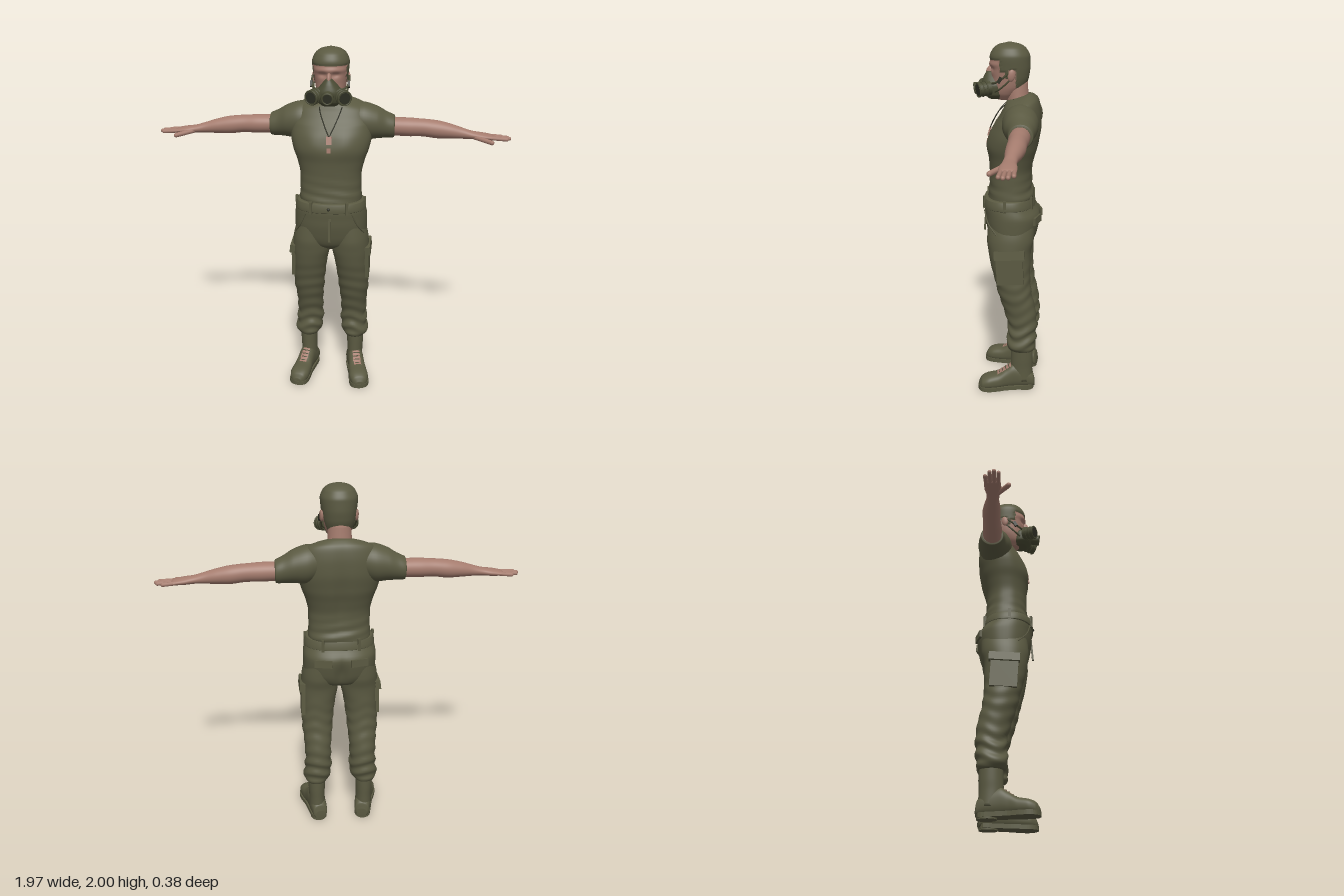
import * as THREE from 'three';

const mat = (name, color) => Object.assign(new THREE.MeshStandardMaterial({ color }), { name });
const V = (x, y, z) => new THREE.Vector3(x, y, z);
const gauss = (d, w) => Math.exp(-(d * d) / (w * w));

// Smooth closed loft along an axis. Rings: [t, centreA, centreB, radiusA, radiusB].
// (a, b) is (x, z) along y, (y, z) along x and (x, y) along z.
function loft(axis, rings, { n = 2, seg = 40, sub = 5, deform } = {}) {
  const R = [...rings].sort((p, q) => p[0] - q[0]);
  const slope = (i, k) => (R[i + 1][k] - R[i][k]) / (R[i + 1][0] - R[i][0]);
  const tangent = (i, k) => {
    if (i === 0) return slope(0, k);
    if (i === R.length - 1) return slope(i - 1, k);
    const a = slope(i - 1, k), b = slope(i, k);
    return a * b <= 0 ? 0 : (2 * a * b) / (a + b);
  };
  const pos = [], idx = [];
  const push = (t, a, b) => {
    const v = axis === 'y' ? V(a, t, b) : axis === 'x' ? V(t, a, b) : V(a, b, t);
    if (deform) deform(v);
    pos.push(v.x, v.y, v.z);
  };
  const sp = (c) => Math.sign(c) * Math.pow(Math.abs(c), 2 / n);
  const rows = (R.length - 1) * sub;
  for (let i = 0; i <= rows; i++) {
    const s = Math.min(Math.floor(i / sub), R.length - 2), u = i / sub - s, h = R[s + 1][0] - R[s][0];
    const f = (k) => (1 + 2 * u) * (1 - u) ** 2 * R[s][k] + u * (1 - u) ** 2 * h * tangent(s, k)
      + u * u * (3 - 2 * u) * R[s + 1][k] + u * u * (u - 1) * h * tangent(s + 1, k);
    for (let j = 0; j < seg; j++) {
      const q = (j / seg) * Math.PI * 2;
      push(R[s][0] + u * h, f(1) + f(3) * sp(Math.cos(q)), f(2) + f(4) * sp(Math.sin(q)));
    }
  }
  const tri = (a, b, c) => (axis === 'y' ? idx.push(a, c, b) : idx.push(a, b, c));
  for (let i = 0; i < rows; i++) for (let j = 0; j < seg; j++) {
    const a = i * seg + j, b = i * seg + (j + 1) % seg;
    tri(a, b, a + seg);
    tri(b, b + seg, a + seg);
  }
  const first = (rows + 1) * seg, last = R[R.length - 1];
  push(R[0][0], R[0][1], R[0][2]);
  push(last[0], last[1], last[2]);
  for (let j = 0; j < seg; j++) {
    const k = (j + 1) % seg;
    tri(first, k, j);
    tri(first + 1, rows * seg + j, rows * seg + k);
  }
  const g = new THREE.BufferGeometry();
  g.setAttribute('position', new THREE.Float32BufferAttribute(pos, 3));
  g.setIndex(idx);
  g.computeVertexNormals();
  return g;
}

// Put the faces that meet a rule into a second material group
function splitFaces(g, rule) {
  const p = g.attributes.position, ix = g.index.array, parts = [[], []];
  for (let i = 0; i < ix.length; i += 3) {
    const c = V(0, 0, 0);
    for (let k = 0; k < 3; k++) c.add(new THREE.Vector3().fromBufferAttribute(p, ix[i + k]));
    parts[rule(c.divideScalar(3)) ? 1 : 0].push(ix[i], ix[i + 1], ix[i + 2]);
  }
  g.setIndex([...parts[0], ...parts[1]]);
  g.addGroup(0, parts[0].length, 0);
  g.addGroup(parts[0].length, parts[1].length, 1);
  return g;
}

export function createModel() {
  const root = new THREE.Group();
  root.name = 'figure';
  const olive = mat('olive cloth', 0x5a5941);
  const skin = mat('skin', 0xa57c6e);
  const maskMat = mat('mask olive', 0x4b4c35);
  const dark = mat('dark rubber', 0x2f3025);

  const add = (name, geo, m, p = [0, 0, 0], r = [0, 0, 0]) => {
    const mesh = new THREE.Mesh(geo, m);
    mesh.name = name;
    mesh.position.set(...p);
    mesh.rotation.set(...r);
    root.add(mesh);
    return mesh;
  };
  // Add a left part and its mirrored right twin
  const pair = (name, ...args) => {
    const left = add(name + 'Left', ...args);
    left.updateMatrix();
    const g = left.geometry.clone().applyMatrix4(left.matrix).scale(-1, 1, 1);
    const ix = g.index.array;
    for (let i = 0; i < ix.length; i += 3) [ix[i], ix[i + 1]] = [ix[i + 1], ix[i]];
    add(name + 'Right', g, args[1]);
  };
  const tube = (pts, r, seg = 24) => new THREE.TubeGeometry(new THREE.CatmullRomCurve3(pts.map((p) => V(...p))), seg, r, 6);
  const box = (x, y, z) => new THREE.BoxGeometry(x, y, z);
  const finger = (a, b, r) => {
    const A = V(...a), B = V(...b), d = B.clone().sub(A);
    const g = new THREE.CapsuleGeometry(r, d.length(), 4, 10);
    g.applyQuaternion(new THREE.Quaternion().setFromUnitVectors(V(0, 1, 0), d.normalize()));
    return g.translate(...A.add(B).multiplyScalar(0.5).toArray());
  };

  // Shirt: body with chest, spine groove and a collar lower in front
  add('shirtBody', loft('y', [
    [1.12, 0, -0.02, 0.165, 0.115], [1.165, 0, -0.02, 0.176, 0.13], [1.22, 0, -0.018, 0.172, 0.12],
    [1.3, 0, -0.018, 0.172, 0.118], [1.38, 0, -0.024, 0.188, 0.128], [1.45, 0, -0.03, 0.212, 0.141],
    [1.52, 0, -0.045, 0.225, 0.138], [1.58, 0, -0.06, 0.225, 0.125], [1.63, 0, -0.07, 0.212, 0.11],
    [1.67, 0, -0.073, 0.19, 0.095], [1.7, 0, -0.065, 0.12, 0.075], [1.712, 0, -0.06, 0.07, 0.064],
  ], {
    n: 2.35, seg: 64, deform: (v) => {
      if (v.z > 0) v.z += 0.008 * gauss(v.y - 1.49, 0.06) * gauss(Math.abs(v.x) - 0.09, 0.06);
      if (v.z < -0.08) v.z += 0.012 * gauss(v.x, 0.03) * gauss(v.y - 1.4, 0.2);
      v.z += 0.003 * Math.sin(v.y * 110 + v.x * 14) * gauss(v.y - 1.2, 0.08);
      v.y -= (v.z + 0.06) * 0.3 * THREE.MathUtils.clamp((v.y - 1.58) / 0.12, 0, 1);
    },
  }), olive);
  pair('sleeve', loft('x', [
    [0.1, 1.6, -0.08, 0.08, 0.08], [0.18, 1.588, -0.083, 0.104, 0.098], [0.25, 1.58, -0.088, 0.09, 0.088],
    [0.3, 1.567, -0.095, 0.074, 0.072], [0.345, 1.558, -0.098, 0.062, 0.064], [0.349, 1.558, -0.098, 0.05, 0.052],
  ]), olive);

  // Arms and hands
  pair('arm', loft('x', [
    [0.32, 1.557, -0.097, 0.05, 0.052], [0.42, 1.555, -0.095, 0.052, 0.053], [0.5, 1.553, -0.096, 0.049, 0.048],
    [0.57, 1.546, -0.096, 0.05, 0.049], [0.65, 1.538, -0.092, 0.042, 0.043], [0.73, 1.527, -0.086, 0.029, 0.033],
    [0.78, 1.52, -0.083, 0.022, 0.035], [0.83, 1.515, -0.083, 0.02, 0.043], [0.88, 1.511, -0.085, 0.014, 0.042],
    [0.893, 1.51, -0.085, 0.008, 0.036],
  ]), skin);
  [[-0.119, 0.935], [-0.097, 0.965], [-0.075, 0.974], [-0.053, 0.96]].forEach(([z, x], i) =>
    pair('finger' + (i + 1), finger([0.87, 1.511, z * 0.9 - 0.008], [x, 1.506, z], 0.011), skin));
  pair('thumb', finger([0.79, 1.512, -0.06], [0.875, 1.498, -0.004], 0.013), skin);

  // Neck, and head with cropped hair
  add('neck', loft('y', [[1.62, 0, -0.06, 0.075, 0.065], [1.7, 0, -0.054, 0.066, 0.06], [1.8, 0, -0.045, 0.062, 0.062]]), skin);
  const isHair = (v) => v.y > (v.z > 0.035 ? 1.91 : v.z > 0.005 ? 1.85 : v.z > -0.015 ? 1.815 : v.z > -0.05 ? 1.86 : 1.765);
  add('head', splitFaces(loft('y', [
    [1.695, 0, 0.02, 0.035, 0.035], [1.73, 0, 0.012, 0.062, 0.07], [1.77, 0, -0.004, 0.077, 0.09],
    [1.82, 0, -0.012, 0.086, 0.1], [1.87, 0, -0.012, 0.092, 0.106], [1.92, 0, -0.011, 0.096, 0.106],
    [1.96, 0, -0.01, 0.082, 0.09], [1.985, 0, -0.01, 0.054, 0.06], [1.997, 0, -0.01, 0.012, 0.014],
  ], {
    n: 2.15, seg: 80, sub: 9, deform: (v) => {
      if (v.z > 0.03) v.z += 0.008 * gauss(v.y - 1.885, 0.015) - 0.012 * gauss(v.y - 1.862, 0.014) * gauss(Math.abs(v.x) - 0.035, 0.022);
      if (isHair(v)) { v.x *= 1.045; v.z = (v.z + 0.01) * 1.03 - 0.01; v.y += 0.002; }
    },
  }), isHair), [skin, olive]);
  add('nose', new THREE.SphereGeometry(1, 16, 12).scale(0.014, 0.035, 0.024), skin, [0, 1.842, 0.096], [-0.3, 0, 0]);
  pair('ear', new THREE.SphereGeometry(1, 16, 12).scale(0.01, 0.032, 0.02), skin, [0.094, 1.832, -0.028], [-0.15, 0.25, 0]);

  // Breathing mask: cup, centre valve, two side canisters and short straps
  add('maskCup', loft('y', [
    [1.7, 0, 0.068, 0.04, 0.035], [1.725, 0, 0.074, 0.066, 0.058], [1.77, 0, 0.078, 0.07, 0.066],
    [1.81, 0, 0.083, 0.046, 0.052], [1.845, 0, 0.097, 0.015, 0.02],
  ], { n: 2.2 }), maskMat);
  const drum = (r, h) => new THREE.CylinderGeometry(r, r, h, 24).rotateX(Math.PI / 2);
  const ring = (r, t) => new THREE.TorusGeometry(r, t, 8, 24);
  add('centreValve', drum(0.03, 0.06), maskMat, [0, 1.757, 0.15], [0.15, 0, 0]);
  add('valveRim', ring(0.028, 0.005), maskMat, [0, 1.753, 0.18], [0.15, 0, 0]);
  add('valveFace', drum(0.023, 0.006), dark, [0, 1.753, 0.18], [0.15, 0, 0]);
  const turn = V(0.45, -0.1, 0.85).normalize(), rot = [0.11, 0.49, 0];
  const along = (d) => V(0.073, 1.757, 0.122).addScaledVector(turn, d).toArray();
  pair('canister', drum(0.037, 0.07), maskMat, along(0), rot);
  for (const d of [-0.012, 0.01, 0.033]) pair('canisterRim', ring(0.037, 0.004), maskMat, along(d), rot);
  pair('canisterFace', drum(0.03, 0.005), dark, along(0.034), rot);
  pair('maskStrap', tube([[0.06, 1.785, 0.09], [0.09, 1.795, 0.055], [0.1, 1.825, 0.01], [0.098, 1.845, -0.01]], 0.006), maskMat);
  pair('lowerStrap', tube([[0.06, 1.74, 0.07], [0.085, 1.76, 0.035], [0.094, 1.79, 0], [0.092, 1.81, -0.02]], 0.005), maskMat);
  pair('strapBuckle', box(0.012, 0.034, 0.018), dark, [0.1, 1.808, 0.035], [-0.5, 0, 0]);

  // Neck chain and tags
  pair('neckChain', tube([[0.068, 1.705, -0.04], [0.055, 1.655, 0.03], [0.028, 1.59, 0.074], [0.002, 1.535, 0.1]], 0.003), dark);
  add('upperTag', box(0.03, 0.044, 0.008), skin, [0, 1.515, 0.104], [-0.3, 0, 0]);
  add('lowerTag', box(0.02, 0.026, 0.008), skin, [0, 1.462, 0.114], [-0.1, 0, 0]);

  // Trousers: seat, waistband, legs and pockets
  add('trouserSeat', loft('y', [
    [0.855, 0, -0.02, 0.04, 0.05], [0.9, 0, -0.028, 0.16, 0.12], [0.96, 0, -0.03, 0.205, 0.143],
    [1.05, 0, -0.03, 0.207, 0.157], [1.12, 0, -0.01, 0.195, 0.14], [1.155, 0, -0.008, 0.184, 0.132],
  ], {
    n: 2.3, seg: 64, deform: (v) => {
      if (v.z < -0.08) v.z += 0.025 * gauss(v.x, 0.025) * gauss(v.y - 0.96, 0.08);
    },
  }), olive);
  add('waistband', loft('y', [[1.105, 0, -0.012, 0.196, 0.142], [1.11, 0, -0.01, 0.201, 0.147], [1.155, 0, -0.008, 0.191, 0.139], [1.16, 0, -0.008, 0.18, 0.13]], { n: 2.3, seg: 64 }), olive);
  for (const [x, z, a] of [[0.1, 0.122, 0.25], [0.193, 0, 1.57], [0.1, -0.14, 2.9]])
    pair('beltLoop', box(0.016, 0.07, 0.014), olive, [x, 1.135, z], [0, a, 0]);
  add('fly', box(0.014, 0.16, 0.01), olive, [0.006, 1.02, 0.128], [-0.08, 0, 0]);
  add('waistButton', new THREE.SphereGeometry(0.009, 12, 8), dark, [0, 1.132, 0.136]);
  pair('trouserLeg', loft('y', [
    [1.03, 0.1, -0.03, 0.09, 0.13], [0.93, 0.112, -0.025, 0.104, 0.132], [0.86, 0.114, -0.021, 0.108, 0.121],
    [0.78, 0.121, -0.027, 0.1, 0.113], [0.7, 0.127, -0.037, 0.094, 0.102], [0.6, 0.132, -0.055, 0.088, 0.095],
    [0.5, 0.132, -0.082, 0.078, 0.091], [0.4, 0.132, -0.097, 0.075, 0.083], [0.33, 0.135, -0.094, 0.079, 0.083],
    [0.285, 0.142, -0.09, 0.077, 0.083], [0.258, 0.143, -0.092, 0.062, 0.072], [0.252, 0.143, -0.093, 0.045, 0.06],
  ], {
    seg: 48, sub: 8, n: 2.1, deform: (v) => {
      const a = Math.atan2(v.z + 0.08, v.x - 0.135);
      const w = 0.006 * Math.sin(v.y * 85 + 2 * Math.sin(a * 2 + 1)) * (gauss(v.y - 0.36, 0.1) + 0.4 * gauss(v.y - 0.62, 0.12));
      v.x += Math.cos(a) * w;
      v.z += Math.sin(a) * w;
    },
  }), olive);
  pair('cargoPocket', box(0.022, 0.17, 0.15), olive, [0.213, 0.775, -0.03], [0.06, 0, 0.02]);
  pair('cargoFlap', box(0.03, 0.048, 0.17), olive, [0.217, 0.862, -0.028], [0.06, 0, 0.12]);
  pair('backPocketFlap', box(0.1, 0.042, 0.014), olive, [0.1, 1.04, -0.174], [0.05, -0.28, 0]);
  pair('sidePocketSeam', tube([[0.13, 1.1, 0.118], [0.16, 1.03, 0.096], [0.195, 0.97, 0.045]], 0.004), olive);

  // Boots, toes turned out; the bare instep shows under the laces
  const heel = V(0.14, 0, -0.095), toeOut = 0.2;
  const place = (g) => g.translate(0, 0, 0.095).rotateY(toeOut).translate(heel.x, 0, heel.z);
  pair('bootShaft', loft('y', [
    [0.06, 0.141, -0.095, 0.048, 0.066], [0.14, 0.142, -0.094, 0.047, 0.064], [0.2, 0.143, -0.095, 0.049, 0.064],
    [0.29, 0.143, -0.095, 0.051, 0.062],
  ]), olive);
  pair('bootFoot', place(splitFaces(loft('z', [
    [-0.17, 0.03, 0.026], [-0.16, 0.043, 0.045], [-0.1, 0.049, 0.065], [-0.045, 0.048, 0.074], [0, 0.049, 0.062],
    [0.05, 0.055, 0.047], [0.1, 0.057, 0.042], [0.14, 0.045, 0.033], [0.158, 0.022, 0.018],
  ].map(([z, w, h]) => [z, 0, h + 0.012, w, h]), { n: 2.4, sub: 8, seg: 48 }),
  (v) => v.z > -0.03 && v.z < 0.052 && Math.abs(v.x) < 0.021 && v.y > 0.08)), [olive, skin]);
  const outline = new THREE.Shape(new THREE.SplineCurve([
    [0, 0.17], [0.042, 0.15], [0.048, 0.08], [0.05, 0], [0.059, -0.06], [0.06, -0.11], [0.042, -0.148], [0, -0.163],
    [-0.042, -0.148], [-0.056, -0.11], [-0.054, -0.06], [-0.048, 0], [-0.048, 0.08], [-0.042, 0.15], [0, 0.17],
  ].map((p) => new THREE.Vector2(...p))).getPoints(56).slice(0, -1));
  const sole = new THREE.ExtrudeGeometry(outline, { depth: 0.024, bevelEnabled: false }).rotateX(-Math.PI / 2).translate(0, 0.008, 0);
  sole.setIndex([...Array(sole.attributes.position.count).keys()]);
  pair('bootSole', place(sole), olive);
  pair('bootHeel', place(new THREE.CylinderGeometry(0.046, 0.046, 0.03, 24).scale(1, 1, 1.15).translate(0, 0.015, -0.115)), olive);
  for (let i = 0; i < 4; i++) {
    const z = -0.022 + i * 0.018, y = 0.148 - i * 0.0125;
    pair('lace' + (i + 1), place(tube([[-0.026, y - 0.006, z], [0, y, z + 0.006], [0.026, y - 0.006, z]], 0.0035, 8)), olive);
  }
  return root;
}
